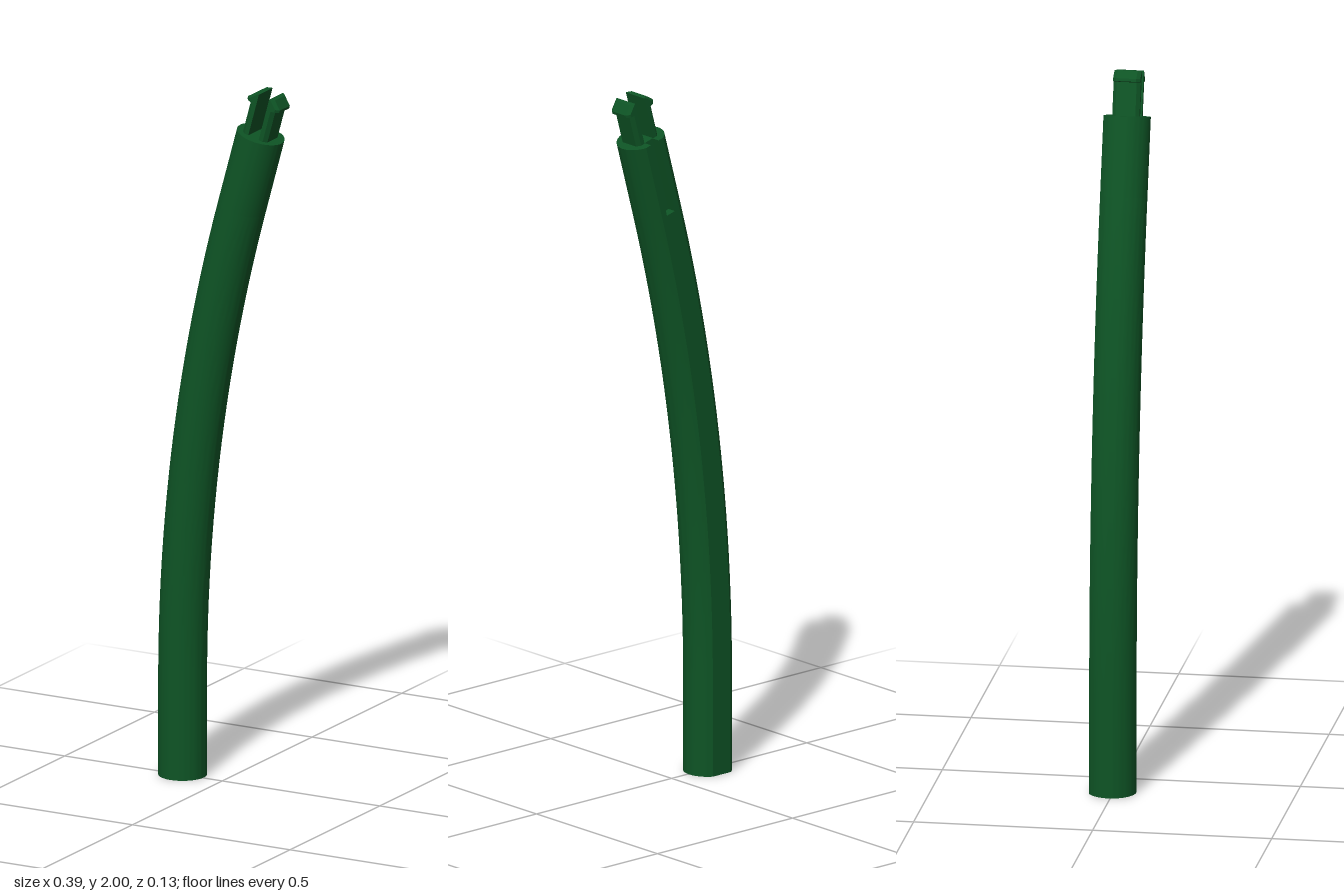
import * as THREE from 'three';
import { toCreasedNormals } from 'three/addons/utils/BufferGeometryUtils.js';

const TILT = 0.27, BEND_START = 0.27, BEND_R = 5.2, BASE_X = -0.1285;
const R = 0.0675, Z0 = -0.005, FLAT = 0.51; // stem radius, offset, half angle of the flat back
const TOP_LEN = 0.224;

// Capped skin through rings of [x, depth] sections; each ring counter-clockwise from above.
function loft(stations) {
  const pos = [];
  const rings = stations.map(({ section, at, tilt }) => section.map(([u, w]) =>
    new THREE.Vector3(at[0] + u * Math.cos(tilt), at[1] - u * Math.sin(tilt), -w)));
  const tri = (...pts) => pts.forEach(p => pos.push(p.x, p.y, p.z));
  for (let i = 0; i < rings.length - 1; i++) {
    const lo = rings[i], hi = rings[i + 1];
    lo.forEach((a, j) => {
      const k = (j + 1) % lo.length;
      tri(a, lo[k], hi[k]);
      tri(a, hi[k], hi[j]);
    });
  }
  const last = rings.length - 1;
  const faces = i => THREE.ShapeUtils.triangulateShape(
    stations[i].section.map(p => new THREE.Vector2(...p)), []);
  faces(0).forEach(([a, b, c]) => tri(rings[0][a], rings[0][c], rings[0][b]));
  faces(last).forEach(([a, b, c]) => tri(rings[last][a], rings[last][b], rings[last][c]));
  const geo = new THREE.BufferGeometry();
  geo.setAttribute('position', new THREE.Float32BufferAttribute(pos, 3));
  return toCreasedNormals(geo, 0.4);
}

// Round section with a flat back, optionally with a groove in the flat.
function stemSection(groove) {
  const pts = [], n = 48;
  for (let i = 0; i <= n; i++) {
    const t = Math.PI / 2 + FLAT + (2 * Math.PI - 2 * FLAT) * i / n;
    pts.push([R * Math.cos(t), R * Math.sin(t) - Z0]);
  }
  const back = R * Math.cos(FLAT) - Z0;
  if (groove) pts.push([0.015, back], [0.015, 0.038], [-0.015, 0.038], [-0.015, back]);
  return pts;
}

export function createModel() {
  const group = new THREE.Group();
  const green = new THREE.MeshStandardMaterial({ color: 0x0e5425 });
  green.name = 'dark green';
  const add = (name, geo) => {
    const mesh = new THREE.Mesh(geo, green);
    mesh.name = name;
    group.add(mesh);
  };

  // Stem: upright foot, then a gentle bend
  const plain = stemSection(false);
  const stations = [{ section: plain, at: [BASE_X, 0], tilt: 0 }];
  for (let i = 0; i <= 24; i++) {
    const tilt = TILT * i / 24;
    stations.push({
      section: plain, tilt,
      at: [BASE_X + BEND_R * (1 - Math.cos(tilt)), BEND_START + BEND_R * Math.sin(tilt)],
    });
  }
  add('bentStem', loft(stations));

  // Straight grooved end
  const start = stations[stations.length - 1].at;
  const along = d => [start[0] + d * Math.sin(TILT), start[1] + d * Math.cos(TILT)];
  const grooved = stemSection(true);
  add('groovedEnd', loft([0, TOP_LEN].map(d => ({ section: grooved, at: along(d), tilt: TILT }))));

  // Two barbed clip prongs: [height, outer edge]
  const profile = [[-0.005, 0.04], [0.094, 0.04], [0.096, 0.052], [0.104, 0.052], [0.126, 0.03]];
  for (const side of [1, -1]) {
    add(side > 0 ? 'leftProng' : 'rightProng', loft(profile.map(([v, out]) => ({
      at: along(TOP_LEN + v), tilt: TILT,
      section: [[0.017, -0.038], [out - 0.01, -0.038], [out, -0.028],
        [out, 0.028], [out - 0.01, 0.038], [0.017, 0.038]]
        .map(([u, w]) => [side * u, side * w + 0.002]),
    }))));
  }
  return group;
}
